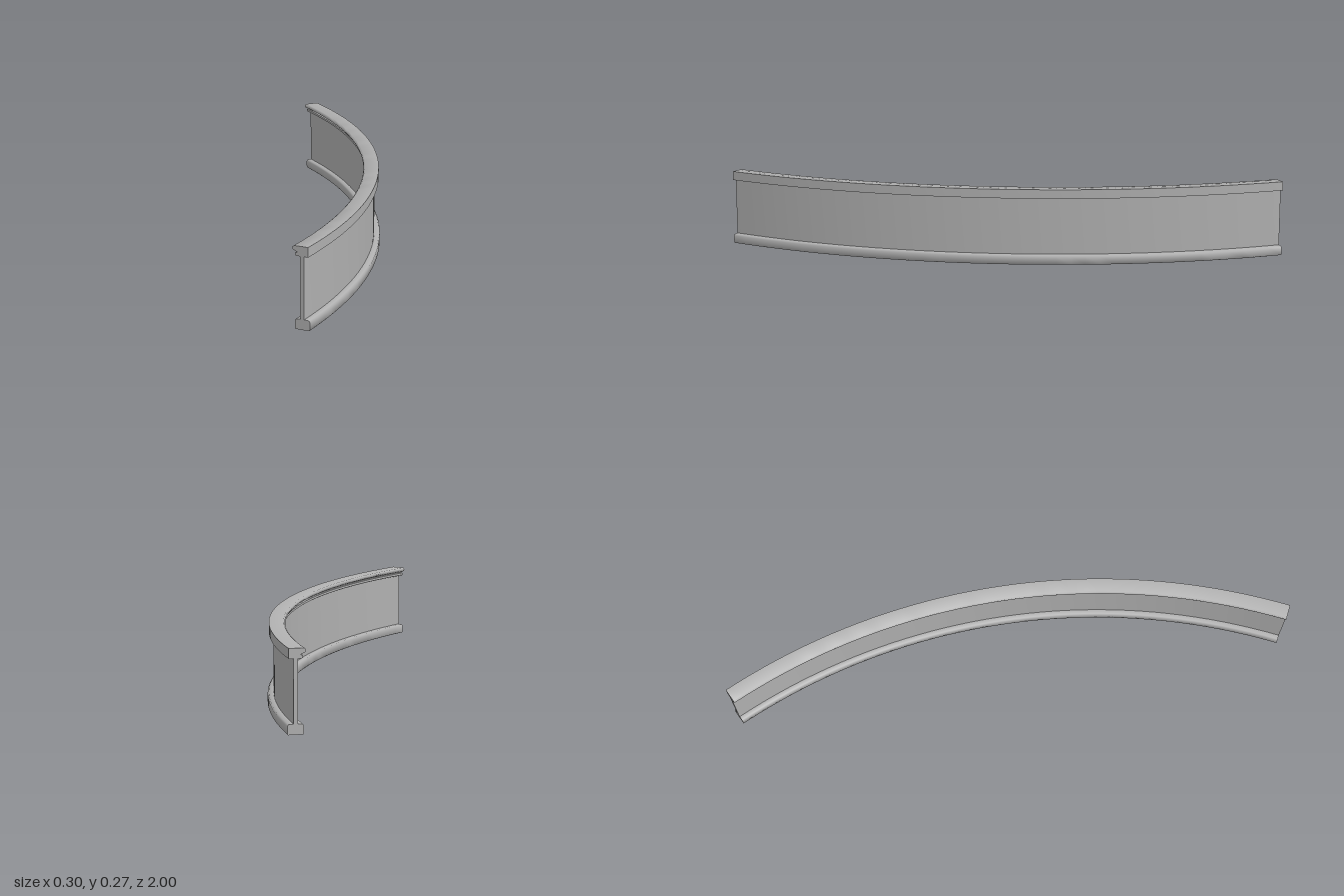
import * as THREE from 'three';
import { toCreasedNormals } from 'three/addons/utils/BufferGeometryUtils.js';

// Arc of the barrier, measured about a vertical axis
const CENTRE_X = -2.113, CENTRE_Z = 0.017;
const PHI_START = THREE.MathUtils.degToRad(64.22);
const PHI_LENGTH = THREE.MathUtils.degToRad(52.54);
const SEGMENTS = 40;

// Sweeps a closed (radius, height) profile, listed anticlockwise, along the arc
function sweep(name, profile, crease, material) {
  const part = new THREE.Group();
  part.name = name;
  const points = profile.map(([r, y]) => new THREE.Vector2(r, y));
  const skin = new THREE.LatheGeometry([...points, points[0].clone()], SEGMENTS, PHI_START, PHI_LENGTH);
  const body = new THREE.Mesh(toCreasedNormals(skin, crease), material);
  body.name = name + 'Body';
  part.add(body);

  // Flat faces closing the two ends
  [['Front', PHI_START], ['Back', PHI_START + PHI_LENGTH]].forEach(([end, phi]) => {
    const face = new THREE.ShapeGeometry(new THREE.Shape(points));
    if (end === 'Back') {
      face.setIndex([...face.index.array].reverse());
      face.computeVertexNormals();
    }
    const mesh = new THREE.Mesh(face, material);
    mesh.name = name + end + 'End';
    mesh.rotation.y = phi - Math.PI / 2;
    part.add(mesh);
  });
  part.position.set(CENTRE_X, 0, CENTRE_Z);
  return part;
}

export function createModel() {
  const model = new THREE.Group();
  model.name = 'curvedBarrier';
  const grey = new THREE.MeshStandardMaterial({ color: 0xb0b0b0 });
  grey.name = 'grey';

  // Footing with softened edges
  model.add(sweep('base', [
    [2.2105, 0], [2.257, 0], [2.26, 0.003], [2.26, 0.028], [2.256, 0.033],
    [2.243, 0.034], [2.2235, 0.034], [2.2115, 0.033], [2.2075, 0.028], [2.2075, 0.003],
  ], 0.9, grey));

  // Thin upright panel
  model.add(sweep('wall', [
    [2.2265, 0.03], [2.24, 0.03], [2.24, 0.24], [2.2265, 0.24],
  ], 0.5, grey));

  // Coping: flat outside, rounded nose over a lip inside
  model.add(sweep('cap', [
    [2.213, 0.236], [2.255, 0.236], [2.255, 0.268], [2.206, 0.268],
    [2.202, 0.265], [2.2005, 0.26], [2.203, 0.255], [2.209, 0.252],
    [2.217, 0.249], [2.217, 0.247], [2.21, 0.246], [2.21, 0.238],
  ], 0.8, grey));

  return model;
}
